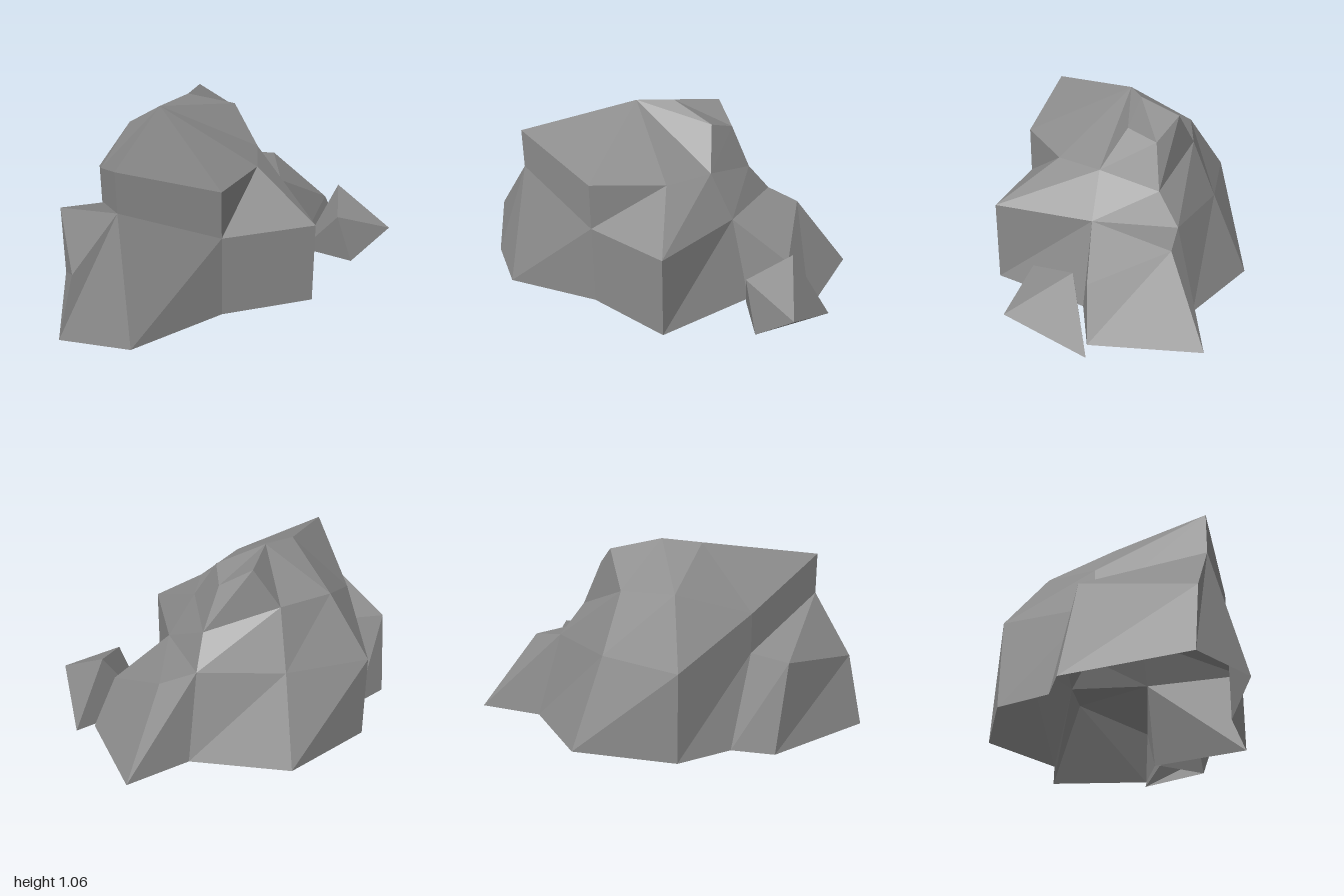
import * as THREE from 'three';

const stone = new THREE.MeshStandardMaterial({ color: 0x8a8a8a, side: THREE.DoubleSide });
stone.name = 'grey stone';

// Turns a list of triangles (three points each) into a faceted mesh.
function facets(name, triangles) {
  const geometry = new THREE.BufferGeometry();
  geometry.setAttribute('position', new THREE.Float32BufferAttribute(triangles.flat(2), 3));
  geometry.computeVertexNormals(); // unshared corners give flat facets
  const mesh = new THREE.Mesh(geometry, stone);
  mesh.name = name;
  return mesh;
}

// Joins two closed rings; a point repeated in a ring gives a single triangle.
function band(lower, upper) {
  const out = [];
  lower.forEach((a, i) => {
    const j = (i + 1) % lower.length;
    const b = lower[j], c = upper[i], d = upper[j];
    if (a !== b) out.push([a, b, d]);
    if (c !== d) out.push([a, d, c]);
  });
  return out;
}

// Fills a polygon from its first corner.
const polygon = (first, ...rest) => rest.slice(1).map((p, i) => [first, rest[i], p]);

export function createModel() {
  const group = new THREE.Group();
  group.name = 'rocks';

  // Rings run counterclockwise from the front right corner; the underside is open.
  const foot = [
    [0.43, 0, 0.515], [0.48, 0, -0.10], [0.79, 0, -0.30], [0.56, 0, -0.88],
    [0.23, 0, -0.68], [-0.33, 0, -0.79], [-0.78, 0, -0.43], [-0.82, 0, -0.10],
    [-1.0, 0, 0.05], [-0.99, 0, 0.745], [-0.61, 0, 0.875], [-0.10, 0, 0.605],
  ];
  const shelf = [
    [0.43, 0.485, 0.515], [0.34, 0.485, -0.085], [0.66, 0.285, -0.23], [0.38, 0.45, -0.595],
    [0.18, 0.485, -0.545], [-0.305, 0.485, -0.57], [-0.78, 0.485, -0.43], [-0.74, 0.485, 0.10],
    [-0.985, 0.485, 0.14], [-0.89, 0.39, 0.73], [-0.64, 0.715, 0.695], [-0.10, 0.485, 0.605],
  ];
  const shoulder = [
    [0.14, 0.735, 0.245], [0.185, 0.735, -0.05], [0.14, 0.66, -0.405], [-0.28, 0.815, -0.43],
    [-0.57, 0.83, -0.29], [-0.74, 0.705, 0.10], [-0.64, 0.945, 0.695], [-0.10, 0.76, 0.605],
  ];
  const ridge = [-0.39, 1.045, 0.04];
  const peak = [-0.22, 1.06, -0.11];
  const rim = [[0.06, 0.97, -0.165], [0.05, 0.91, -0.34], [-0.13, 1.02, -0.395]];

  // Lower walls, including the side spurs
  group.add(facets('lowerWalls', band(foot, shelf)));

  // Tops of the two side spurs
  group.add(facets('rightSpurTop', polygon(...shelf.slice(1, 5))));
  group.add(facets('leftSpurTop', polygon(...shelf.slice(8, 11), shelf[7])));

  // Upper walls rise from the shelf without the spurs
  const inner = [0, 1, 4, 5, 6, 7, 10, 11].map((i) => shelf[i]);
  group.add(facets('upperWalls', band(inner, shoulder)));

  // Sloping crown, gathered to the ridge and the peak
  const crownFoot = [0, 1, 1, 2, 3, 3, 4, 4, 5, 6, 7].map((i) => shoulder[i]);
  const crownTop = [ridge, ridge, ...rim, peak, peak, ridge, ridge, ridge, ridge];
  group.add(facets('crown', band(crownFoot, crownTop)));
  group.add(facets('peak', polygon(peak, ridge, ...rim)));

  // Small separate stone
  const stoneFoot = [[0.49, 0, -0.07], [0.76, 0, 0.12], [0.89, 0, -0.35]];
  const stoneTop = [[0.73, 0.385, -0.185], [0.66, 0.31, 0.11], [1.0, 0.20, 0.08]];
  group.add(facets('smallStone', [...band(stoneFoot, stoneTop), stoneTop]));

  return group;
}
